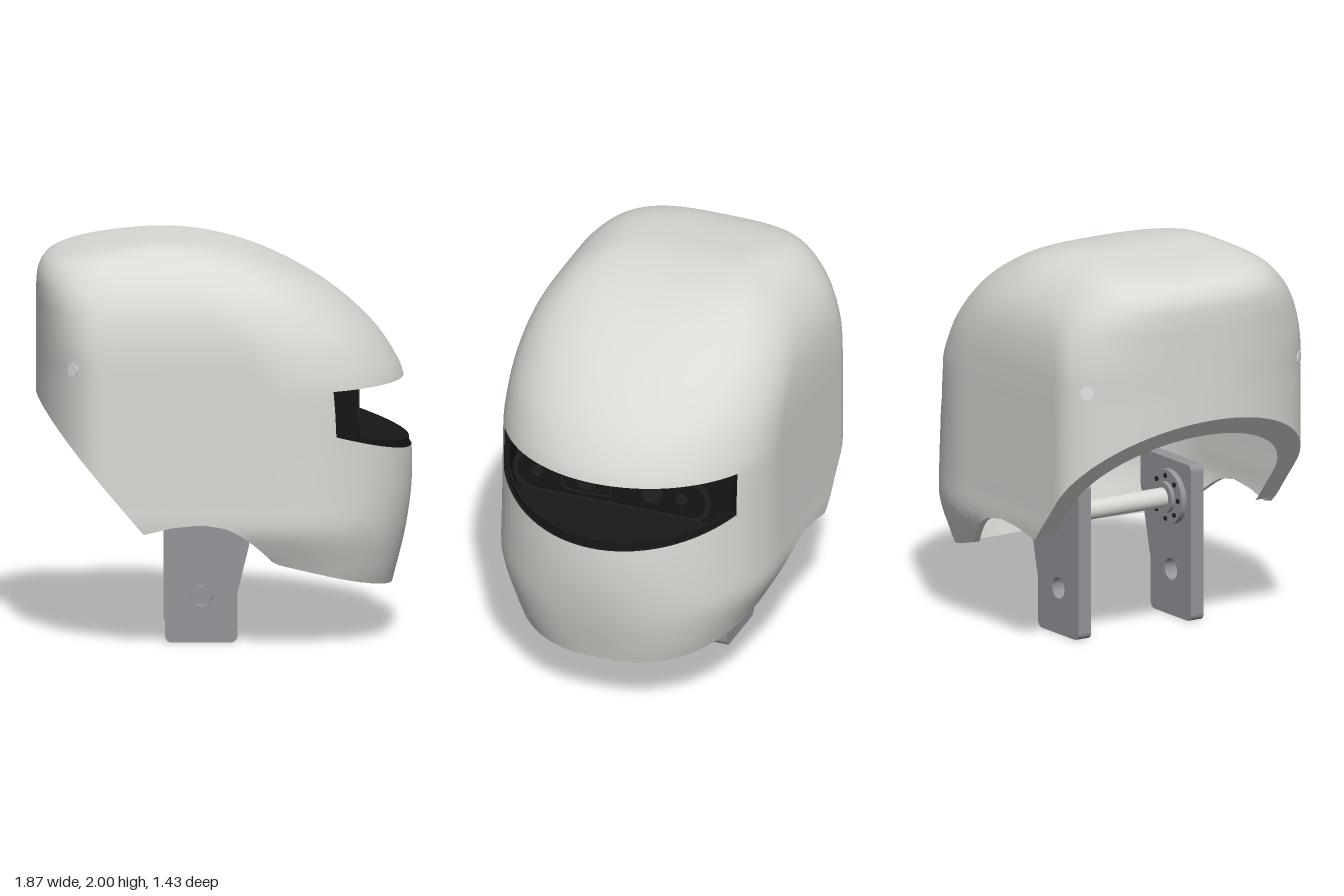
import * as THREE from 'three';

const mat = (name, color, side = THREE.FrontSide) => {
  const m = new THREE.MeshStandardMaterial({ color, side });
  m.name = name;
  return m;
};

// Helmet rings, keyed by s = sqrt(2 - y):
// s, front x, back x, half width, front depth, back depth, squareness
const RINGS = [
  [0, -0.3, -0.3, 0.25, 0, 0, 3.5],
  [0.1, -0.135, -0.465, 0.345, 0.165, 0.165, 3.3],
  [0.2, 0.033, -0.7, 0.435, 0.333, 0.38, 3.1],
  [0.3, 0.195, -0.86, 0.525, 0.49, 0.5, 2.85],
  [0.4, 0.352, -0.921, 0.597, 0.61, 0.5, 2.6],
  [0.5, 0.508, -0.936, 0.655, 0.67, 0.44, 2.4],
  [0.6, 0.65, -0.938, 0.692, 0.69, 0.38, 2.2],
  [0.7, 0.775, -0.938, 0.71, 0.695, 0.34, 2.08],
  [0.8, 0.868, -0.938, 0.715, 0.695, 0.33, 2],
  [0.84, 0.89, -0.938, 0.715, 0.695, 0.33, 2],
  [1.027, 0.93, -0.938, 0.715, 0.735, 0.33, 2],
  [1.118, 0.93, -0.938, 0.715, 0.735, 0.33, 2.05],
  [1.183, 0.912, -0.938, 0.712, 0.725, 0.33, 2.15],
  [1.225, 0.893, -0.938, 0.67, 0.71, 0.33, 2.3],
  [1.253, 0.876, -0.938, 0.635, 0.7, 0.33, 2.4],
  [1.281, 0.858, -0.938, 0.603, 0.69, 0.33, 2.5],
  [1.315, 0.835, -0.938, 0.565, 0.68, 0.33, 2.5],
];
// Lower edge of the helmet: x, y
const HEM = [[-0.94, 1.22], [-0.41, 0.59], [-0.27, 0.625], [-0.12, 0.64], [0, 0.62],
  [0.07, 0.585], [0.13, 0.54], [0.2, 0.48], [0.25, 0.43], [0.83, 0.27]];
const SLOT_TOP = 1.295, SLOT_ANGLE = 1.06, SLOT_COLS = 16;

function ringAt(y) {
  const s = Math.min(1.315, Math.sqrt(Math.max(0, 2 - y)));
  let i = 0;
  while (i < RINGS.length - 2 && s > RINGS[i + 1][0]) i++;
  const a = RINGS[i], b = RINGS[i + 1], h = b[0] - a[0], t = (s - a[0]) / h;
  const p = RINGS[Math.max(0, i - 1)], q = RINGS[Math.min(RINGS.length - 1, i + 2)];
  return a.map((v, k) => {
    const m0 = (b[k] - p[k]) / (b[0] - p[0]) * h, m1 = (q[k] - a[k]) / (q[0] - a[0]) * h;
    const t2 = t * t, t3 = t2 * t;
    return (2 * t3 - 3 * t2 + 1) * v + (t3 - 2 * t2 + t) * m0 + (3 * t2 - 2 * t3) * b[k] + (t3 - t2) * m1;
  });
}

function hemAt(x) {
  if (x <= HEM[0][0]) return HEM[0][1];
  for (let i = 1; i < HEM.length; i++) {
    const [x0, y0] = HEM[i - 1], [x1, y1] = HEM[i];
    if (x <= x1) return y0 + (y1 - y0) * (x - x0) / (x1 - x0);
  }
  return HEM[HEM.length - 1][1];
}

// Point of the skin on a column (kind, parameter, side) at height y
function skin([kind, p, side], y) {
  const [, xf, xb, w, af, ab, n] = ringAt(y);
  if (kind === 'side') return [THREE.MathUtils.lerp(xf - af, xb + ab, p), y, side * w];
  const e = 2 / (kind === 'front' ? n : 1.4 * n - 0.8);
  const c = Math.max(0, Math.cos(p)) ** e, z = side * w * Math.max(0, Math.sin(p)) ** e;
  return [kind === 'front' ? xf - af + af * c : xb + ab - ab * c, y, z];
}

function makeColumns() {
  const half = [];
  for (let i = 0; i <= SLOT_COLS; i++) half.push(['front', SLOT_ANGLE * i / SLOT_COLS, 1]);
  for (let i = 1; i <= 18; i++) half.push(['front', SLOT_ANGLE + (Math.PI / 2 - SLOT_ANGLE) * i / 18, 1]);
  for (let i = 1; i <= 36; i++) half.push(['side', i / 36, 1]);
  for (let i = 1; i <= 18; i++) half.push(['back', Math.PI / 2 * (1 - i / 18), 1]);
  const mirrored = half.slice(1, -1).reverse().map(([k, p]) => [k, p, -1]);
  return [...half, ...mirrored];
}

function gridGeometry(points, quads) {
  const g = new THREE.BufferGeometry();
  g.setAttribute('position', new THREE.Float32BufferAttribute(points.flat(), 3));
  g.setIndex(quads.flatMap(([a, b, c, d]) => [a, d, b, b, d, c]));
  g.computeVertexNormals();
  return g;
}

// Ribbon between two runs of points
function ribbon(from, to) {
  const quads = from.slice(1).map((_, k) => [2 * k, 2 * k + 2, 2 * k + 3, 2 * k + 1]);
  return gridGeometry(from.flatMap((p, k) => [p, to[k]]), quads);
}

function makeShell(material, slotMaterial) {
  const group = new THREE.Group();
  group.name = 'helmetShell';
  const cols = makeColumns(), n = cols.length, LOW = 14, MID = 4, TOP = 34, rows = LOW + MID + TOP + 1;
  const outer = [], inner = [];
  for (const col of cols) {
    let y0 = 0.6;
    for (let k = 0; k < 40; k++) y0 = 0.5 * (y0 + hemAt(skin(col, y0)[0]));
    let y1 = 1.05;
    for (let k = 0; k < 10; k++) y1 = 1.07 - 0.32 * Math.max(0, skin(col, y1)[0] - 0.54);
    y1 = Math.max(y1, y0 + 0.01);
    for (let j = 0; j < rows; j++) {
      let y;
      if (j <= LOW) y = y0 + (y1 - y0) * j / LOW;
      else if (j <= LOW + MID) y = y1 + (SLOT_TOP - y1) * (j - LOW) / MID;
      else y = 2 - (2 - SLOT_TOP) * (1 - (j - LOW - MID) / TOP) ** 2;
      const p = skin(col, y);
      outer.push(p);
      inner.push([p[0] * 0.96, y - 0.04 * Math.max(0, (y - SLOT_TOP) / 0.705), p[2] * 0.95]);
    }
  }
  const quads = [];
  const inSlot = (i) => i < SLOT_COLS || i >= n - SLOT_COLS;
  for (let i = 0; i < n; i++) {
    for (let j = 0; j < rows - 1; j++) {
      if (inSlot(i) && j >= LOW && j < LOW + MID) continue;
      const a = i * rows + j, b = ((i + 1) % n) * rows + j;
      quads.push([a, b, b + 1, a + 1]);
    }
  }
  // Rims bridging the outer and inner skins
  const rim = (ids) => ribbon(ids.map((k) => outer[k]), ids.map((k) => inner[k]));
  const around = (j, from, to) => {
    const ids = [];
    for (let i = from; i <= to; i++) ids.push(((i + n) % n) * rows + j);
    return ids;
  };
  const upright = (i) => Array.from({ length: MID + 1 }, (_, k) => ((i + n) % n) * rows + LOW + k);
  add(group, 'outerSkin', gridGeometry(outer, quads), material);
  add(group, 'innerSkin', gridGeometry(inner, quads.map(([a, b, c, d]) => [d, c, b, a])), material);
  add(group, 'lowerRim', rim(around(0, 0, n)), material);
  add(group, 'slotLowerRim', rim(around(LOW, -SLOT_COLS, SLOT_COLS)), slotMaterial);
  add(group, 'slotUpperRim', rim(around(LOW + MID, -SLOT_COLS, SLOT_COLS)), slotMaterial);
  for (const i of [SLOT_COLS, -SLOT_COLS]) add(group, 'slotSideRim', rim(upright(i)), slotMaterial);

  // Lip turned inward along the slanted rear opening
  const edge = around(0, 0, n - 1).map((k) => outer[k]).filter((p) => p[0] < -0.41);
  const lip = edge.map(([x, y, z]) => {
    const t = 0.08 * (-0.41 - x) / 0.53;
    return [x + t, y - 1.19 * t, z * 0.84];
  });
  add(group, 'rearLip', ribbon(edge, lip), material);
  return group;
}

function add(parent, name, geometry, material, x = 0, y = 0, z = 0) {
  const m = new THREE.Mesh(geometry, material);
  m.name = name;
  m.position.set(x, y, z);
  parent.add(m);
  return m;
}

const extrude = (shape, depth) => new THREE.ExtrudeGeometry(shape, { depth, bevelEnabled: false, curveSegments: 24 });
const circle = (r, x = 0, y = 0) => new THREE.Path().absarc(x, y, r, 0, Math.PI * 2, true);
const disc = (r, holeR) => {
  const s = new THREE.Shape().absarc(0, 0, r, 0, Math.PI * 2, false);
  if (holeR) s.holes.push(circle(holeR));
  return s;
};
// Rounded bar outline centred on the origin
function roundedBar(w, h, r, Type = THREE.Shape) {
  const s = new Type(), x = w / 2 - r, y = h / 2 - r;
  s.absarc(x, y, r, 0, Math.PI / 2).absarc(-x, y, r, Math.PI / 2, Math.PI);
  s.absarc(-x, -y, r, Math.PI, Math.PI * 1.5).absarc(x, -y, r, Math.PI * 1.5, Math.PI * 2);
  s.closePath();
  return s;
}
// Horizontal slab with a curved front, sloping down along x
function frontSlab(a, b, xBack, yBack, slope, thick) {
  const s = new THREE.Shape(), t = Math.acos((xBack - 0.2) / a);
  for (let i = 0; i <= 32; i++) {
    const k = -t + 2 * t * i / 32;
    s[i ? 'lineTo' : 'moveTo'](0.2 + a * Math.cos(k), b * Math.sin(k));
  }
  const g = extrude(s, thick).rotateX(-Math.PI / 2), p = g.attributes.position;
  for (let i = 0; i < p.count; i++) p.setY(i, p.getY(i) + yBack + slope * (p.getX(i) - xBack));
  g.computeVertexNormals();
  return g;
}

export function createModel() {
  const model = new THREE.Group();
  model.name = 'helmetHead';
  const shellMat = mat('shellGrey', 0xd9d9d5, THREE.DoubleSide);
  const plateMat = mat('plateGrey', 0x94969a);
  const black = mat('visorBlack', 0x171717, THREE.DoubleSide);
  const lensMat = mat('lensBlack', 0x222223);
  const pale = mat('holePale', 0xf2f2f2);

  model.add(makeShell(shellMat, black));

  // Visor housing: floor, ceiling and back wall
  const visor = new THREE.Group();
  visor.name = 'visor';
  model.add(visor);
  add(visor, 'visorFloor', frontSlab(0.716, 0.69, 0.55, 0.98, -0.25, 0.1), black);
  add(visor, 'visorCeiling', frontSlab(0.645, 0.65, 0.5, 1.3, 0, 0.015), black);
  const wall = new THREE.Shape([[0.5, -0.605], [0.54, -0.592], [0.658, -0.515], [0.658, 0.515], [0.54, 0.592], [0.5, 0.605]]
    .map(([x, z]) => new THREE.Vector2(x, z)));
  add(visor, 'visorWall', extrude(wall, 0.35).rotateX(-Math.PI / 2), black, 0, 0.955, 0);

  // Sensor bar on the visor wall, built facing z and turned to face x
  const sensor = new THREE.Group();
  sensor.name = 'sensorBar';
  sensor.position.set(0.658, 1.165, 0);
  sensor.rotation.y = Math.PI / 2;
  visor.add(sensor);
  const frame = roundedBar(1.06, 0.25, 0.124);
  frame.holes.push(roundedBar(1.01, 0.2, 0.099, THREE.Path));
  add(sensor, 'sensorFrame', extrude(frame, 0.008), lensMat);
  const window = roundedBar(0.27, 0.15, 0.04);
  window.holes.push(roundedBar(0.255, 0.135, 0.035, THREE.Path));
  add(sensor, 'lensWindow', extrude(window, 0.006), lensMat, -0.135);
  for (const [z, r] of [[0.4, 0.03], [0.135, 0.055], [-0.22, 0.055], [-0.375, 0.03]]) {
    add(sensor, 'lensRing', extrude(disc(r, r * 0.8), 0.008), lensMat, -z);
    add(sensor, 'lens', extrude(disc(r * 0.7), 0.006), lensMat, -z);
  }

  // Neck plates with pivot holes
  const plate = new THREE.Shape();
  plate.moveTo(-0.26, 0).lineTo(0.02, 0).quadraticCurveTo(0.06, 0, 0.06, 0.04);
  plate.lineTo(0.06, 0.25).lineTo(0.15, 0.62).lineTo(0.15, 0.76).quadraticCurveTo(0.15, 0.8, 0.11, 0.8);
  plate.lineTo(-0.26, 0.8).quadraticCurveTo(-0.3, 0.8, -0.3, 0.76);
  plate.lineTo(-0.3, 0.04).quadraticCurveTo(-0.3, 0, -0.26, 0);
  plate.holes.push(circle(0.055, -0.12, 0.235), circle(0.03, -0.12, 0.61));
  for (const z of [-0.375, 0.3]) add(model, 'neckPlate', extrude(plate, 0.075), plateMat, 0, 0, z);

  // Hollow axle and bolted flange between the plates
  add(model, 'neckAxle', extrude(disc(0.05, 0.03), 0.6), shellMat, -0.12, 0.61, -0.3);
  add(model, 'axleFlange', extrude(disc(0.14, 0.045), 0.03), plateMat, -0.12, 0.61, 0.27);
  add(model, 'axleHub', extrude(disc(0.08, 0.045), 0.02), plateMat, -0.12, 0.61, 0.25);
  for (let i = 0; i < 8; i++) {
    const a = i * Math.PI / 4;
    add(model, 'flangeBolt', extrude(disc(0.012), 0.008), lensMat, -0.12 + 0.11 * Math.cos(a), 0.61 + 0.11 * Math.sin(a), 0.263);
  }

  // Small round ports on the rear corners
  for (const side of [1, -1]) {
    const p = skin(['back', Math.acos(0.46), side], 1.41);
    const port = add(model, 'rearPort', new THREE.CylinderGeometry(0.034, 0.034, 0.008, 24).rotateX(Math.PI / 2), pale, ...p);
    port.lookAt(p[0] - 1.38, p[1], p[2] + side * 1.245);
  }
  return model;
}
